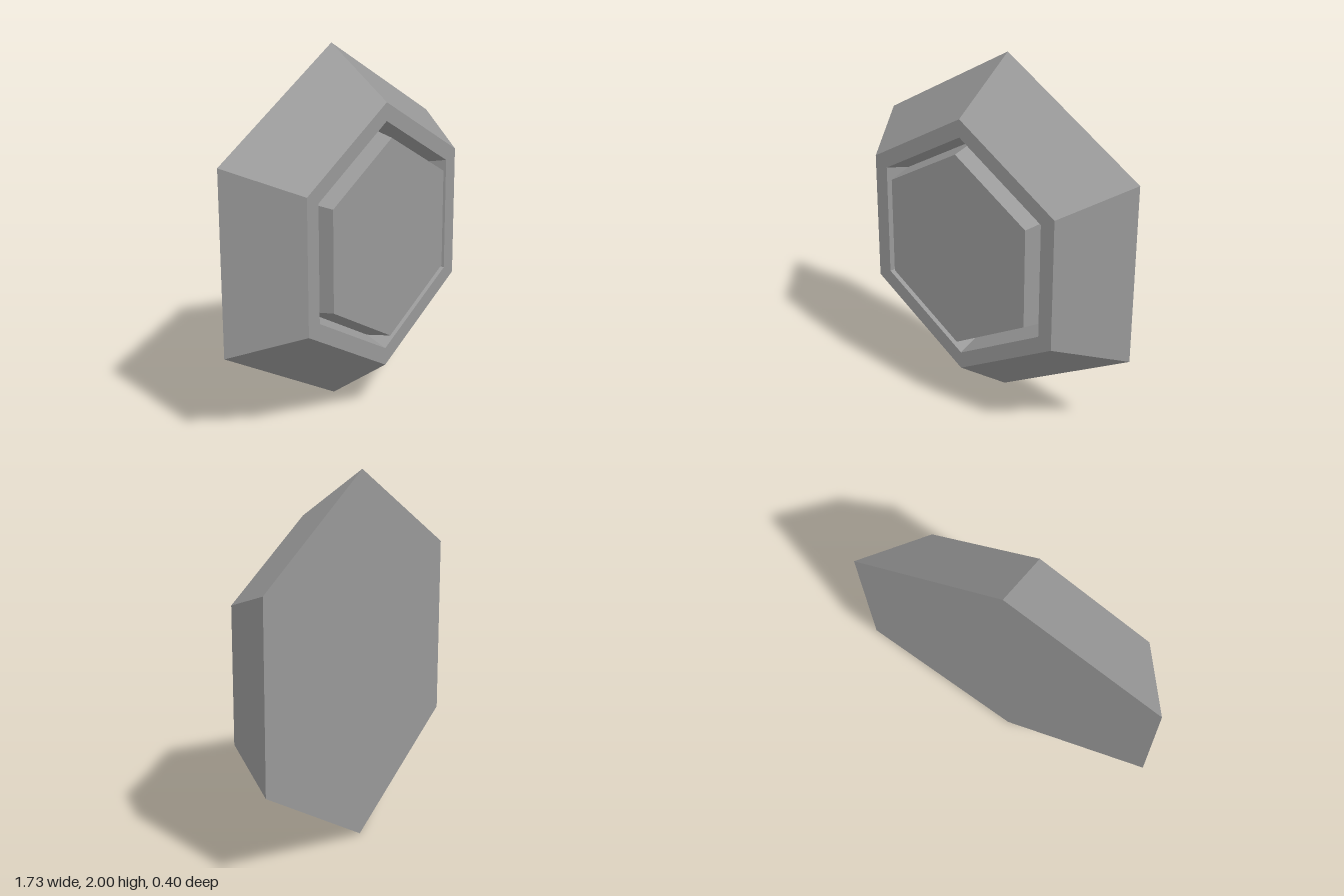
import * as THREE from 'three';

// Six-sided solid turned from [radius, depth] points, facing +z, with flat faces
function hexTurned(name, profile, material) {
  const points = profile.map(([r, z]) => new THREE.Vector2(r, z));
  const geometry = new THREE.LatheGeometry(points, 6).toNonIndexed();
  geometry.rotateX(Math.PI / 2);
  geometry.computeVertexNormals();
  const mesh = new THREE.Mesh(geometry, material);
  mesh.name = name;
  mesh.position.y = 1;
  return mesh;
}

export function createModel() {
  const model = new THREE.Group();
  model.name = 'hexagonalStud';
  const grey = new THREE.MeshStandardMaterial({ color: 0x999999 });
  grey.name = 'grey';

  // Bevelled body: flat back, sloped sides, front rim and outer groove wall
  model.add(hexTurned('bevelledBody', [
    [0, -0.2], [1, -0.2], [0.73, 0.167], [0.632, 0.167], [0.586, 0.04],
  ], grey));

  // Raised centre panel: inner groove wall and flat front
  model.add(hexTurned('centrePanel', [
    [0.586, 0.04], [0.549, 0.2], [0, 0.2],
  ], grey));

  return model;
}
